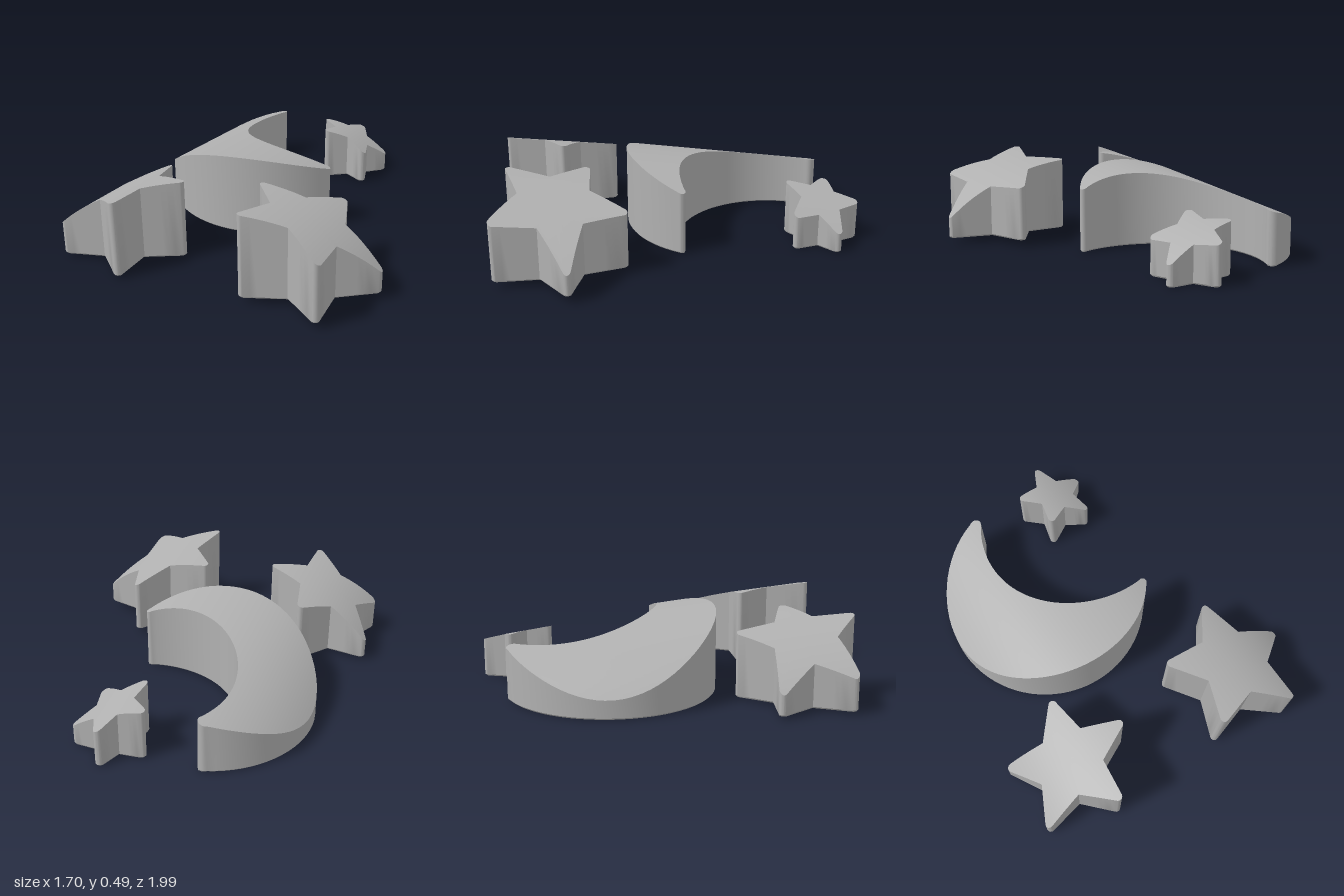
import * as THREE from 'three';
import { toCreasedNormals } from 'three/addons/utils/BufferGeometryUtils.js';

const rad = THREE.MathUtils.degToRad;
const polar = (c, r, a) => new THREE.Vector2(c.x + r * Math.cos(a), c.y + r * Math.sin(a));

// Solid block: outline (x, z), a matching inner target per point, flat base, curved top
function block(outline, target, base, height) {
  const n = outline.length, steps = 10, rings = [];
  const ring = (amount, y) => rings.push(outline.map((p, i) => {
    const q = p.clone().lerp(target(i), amount(p, target(i)));
    return [q.x, y(q), q.y];
  }));
  const inset = (p, t) => Math.min(1, 0.008 / Math.max(p.distanceTo(t), 0.008));
  ring(() => 1, () => base);
  ring(inset, () => base);
  ring(() => 0, () => base + 0.008);
  for (let k = 0; k <= steps; k++) ring(() => k / steps, (q) => height(q.x, q.y));

  const pos = [];
  for (let k = 0; k < rings.length - 1; k++) {
    const a = rings[k], b = rings[k + 1];
    for (let i = 0; i < n; i++) {
      const j = (i + 1) % n;
      pos.push(...a[i], ...b[i], ...b[j], ...a[i], ...b[j], ...a[j]);
    }
  }
  const geo = new THREE.BufferGeometry();
  geo.setAttribute('position', new THREE.Float32BufferAttribute(pos, 3));
  return toCreasedNormals(geo, 0.5);
}

// Domed top: slopes along z, falls away on both sides of x0
const dome = (p, slope, x0, c2, c4) => (x, z) => {
  const d = (x - x0) ** 2;
  return p + slope * z - c2 * d - c4 * d * d;
};

// Five-pointed star with rounded tips and sharp valleys
function star(cx, cz, outer, inner, turn, tipRadius, base, height) {
  const c = new THREE.Vector2(cx, cz), corners = [], pts = [];
  for (let i = 0; i < 5; i++) {
    const a = rad(turn + 72 * i), tip = polar(c, outer - tipRadius, a);
    for (let k = -4; k <= 4; k++) corners.push(polar(tip, tipRadius, a + rad(17 * k)));
    corners.push(polar(c, inner, a + rad(36)));
  }
  // Split the long edges so they follow the dome
  corners.forEach((p, i) => {
    const q = corners[(i + 1) % corners.length];
    const parts = p.distanceTo(q) > 0.04 ? 6 : 1;
    for (let k = 0; k < parts; k++) pts.push(p.clone().lerp(q, k / parts));
  });
  return block(pts, () => c, base, height);
}

// Crescent between two arcs, joined by rounded tips
function crescent(base, height) {
  const n = 48, pts = [];
  const arc = (c, r, from, to) => {
    for (let i = 0; i <= n; i++) pts.push(polar(c, r, rad(from + (to - from) * i / n)));
  };
  const roundTip = (p, q) => {
    const mid = p.clone().lerp(q, 0.5), r = p.distanceTo(q) / 2;
    const start = Math.atan2(p.y - mid.y, p.x - mid.x);
    for (let k = 1; k < 8; k++) pts.push(polar(mid, r, start + Math.PI * k / 8));
  };
  const co = new THREE.Vector2(-0.16, -0.3), ci = new THREE.Vector2(0.17, -0.54);
  arc(co, 0.582, 33, 251);
  roundTip(pts[n], polar(ci, 0.54, rad(209)));
  arc(ci, 0.54, 209, 76);
  roundTip(pts[pts.length - 1], pts[0]);
  // Each point meets its partner on the opposite arc halfway
  const count = pts.length;
  const target = (i) => pts[i].clone().lerp(pts[(2 * (n + 4) - i + count) % count], 0.5);
  return block(pts, target, base, height);
}

export function createModel() {
  const group = new THREE.Group();
  group.name = 'moonAndStars';
  const grey = new THREE.MeshStandardMaterial({ color: 0xb0b0b0 });
  grey.name = 'grey';
  const add = (name, geo) => {
    const mesh = new THREE.Mesh(geo, grey);
    mesh.name = name;
    group.add(mesh);
  };

  add('crescentMoon', crescent(0, dome(0.42, 0.12, -0.05, 0.4, 0.38)));
  add('smallStar', star(0.187, -0.79, 0.21, 0.112, -92, 0.022, 0, dome(0.41, 0.15, -0.05, 0.9, 0)));
  add('rightStar', star(-0.56, 0.672, 0.342, 0.18, -76, 0.022, 0.015, dome(0.4, 0.09, 0, 0.24, 0.27)));
  add('leftStar', star(0.485, 0.662, 0.37, 0.197, -82, 0.022, 0.035, dome(0.4, 0.11, 0, 0.24, 0.27)));
  return group;
}
